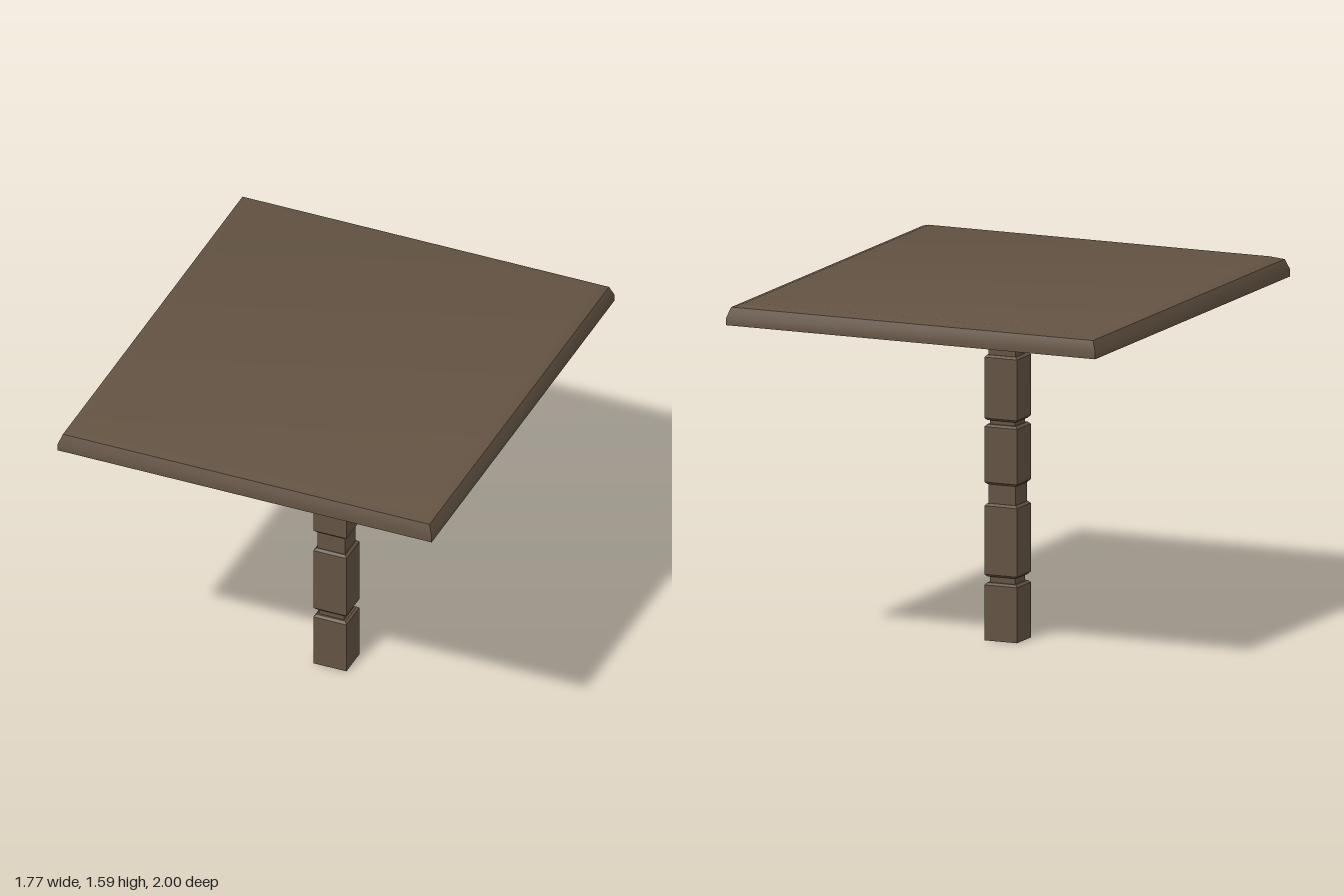
import * as THREE from 'three';
import { toCreasedNormals } from 'three/addons/utils/BufferGeometryUtils.js';

// Stacks rectangular rings [halfX, y, halfZ] from the bottom up and closes the chosen ends.
function loft(rings, capBottom) {
  const pos = [];
  const idx = [];
  for (const [w, y, d] of rings) pos.push(-w, y, d, w, y, d, w, y, -d, -w, y, -d);
  for (let r = 0; r < rings.length - 1; r++) {
    for (let i = 0; i < 4; i++) {
      const a = r * 4 + i;
      const b = r * 4 + (i + 1) % 4;
      idx.push(a, b, b + 4, a, b + 4, a + 4);
    }
  }
  const t = (rings.length - 1) * 4;
  idx.push(t, t + 1, t + 2, t, t + 2, t + 3);
  if (capBottom) idx.push(0, 2, 1, 0, 3, 2);
  const g = new THREE.BufferGeometry();
  g.setAttribute('position', new THREE.Float32BufferAttribute(pos, 3));
  g.setIndex(idx);
  g.computeVertexNormals();
  return toCreasedNormals(g, THREE.MathUtils.degToRad(30));
}

export function createModel() {
  const group = new THREE.Group();
  group.name = 'pedestalTable';
  const wood = new THREE.MeshStandardMaterial({ color: 0x625242, side: THREE.DoubleSide });
  wood.name = 'darkWood';

  // Hollow tabletop with bevelled rim, open underneath
  const rim = [[0, 1.495], [0, 1.525], [0.018, 1.573], [0.067, 1.59]];
  const top = new THREE.Mesh(loft(rim.map(([s, y]) => [0.883 - s, y, 1 - s]), false), wood);
  top.name = 'tabletop';
  group.add(top);

  // Square post: chamfered blocks [bottom, top] separated by necks of the given inset
  const blocks = [[0, 0.255], [0.282, 0.605], [0.69, 0.955], [0.973, 1.262], [1.37, 1.487]];
  const necks = [0.019, 0.013, 0.019, 0.013];
  const profile = [];
  blocks.forEach(([y0, y1], i) => {
    if (i > 0) profile.push([necks[i - 1], y0], [0.01, y0], [0, y0 + 0.01]);
    else profile.push([0, y0]);
    if (i < necks.length) profile.push([0, y1 - 0.01], [0.01, y1], [necks[i], y1]);
    else profile.push([0, y1]);
  });
  const post = new THREE.Mesh(loft(profile.map(([s, y]) => [0.078 - s, y, 0.071 - s]), true), wood);
  post.name = 'post';
  post.position.x = 0.002;
  group.add(post);

  return group;
}
